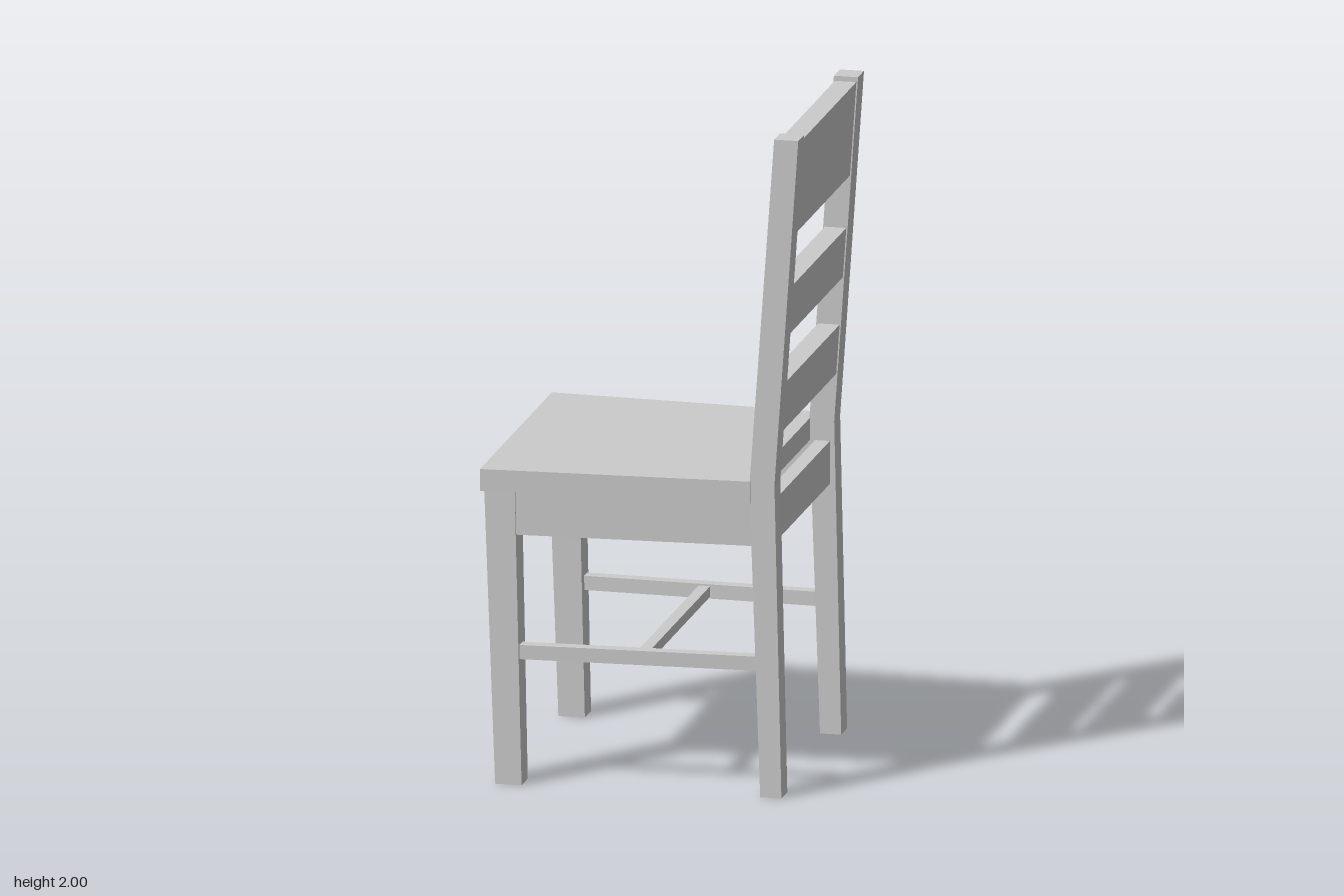
import * as THREE from 'three';

const material = new THREE.MeshStandardMaterial({ color: 0xcccccc, flatShading: true });
const lerp = THREE.MathUtils.lerp;

export function createModel() {
  const chair = new THREE.Group();
  chair.name = 'chair';

  function add(name, geometry) {
    const mesh = new THREE.Mesh(geometry, material);
    mesh.name = name;
    chair.add(mesh);
  }

  // Unit box whose corners (u, v, w from 0 to 1) are moved by a rule
  function block(name, rule) {
    const geometry = new THREE.BoxGeometry(1, 1, 1);
    const p = geometry.attributes.position;
    for (let i = 0; i < p.count; i++) {
      p.setXYZ(i, ...rule(p.getX(i) + 0.5, p.getY(i) + 0.5, p.getZ(i) + 0.5));
    }
    geometry.computeVertexNormals();
    add(name, geometry);
  }

  // Side outline in x and y, given a width across z
  function slab(name, outline, z0, z1) {
    const shape = new THREE.Shape(outline.map(([x, y]) => new THREE.Vector2(x, y)));
    const geometry = new THREE.ExtrudeGeometry(shape, { depth: z1 - z0, bevelEnabled: false });
    add(name, geometry.translate(0, 0, z0));
  }

  // Seat board, narrower toward the back
  block('seat', (u, v, w) => [
    lerp(-0.477, 0.33, u), lerp(0.89, 0.957, v), (w * 2 - 1) * lerp(0.46, 0.422, u),
  ]);

  for (const s of [1, -1]) {
    const side = s > 0 ? 'Left' : 'Right';

    // Bent rear leg that runs up into the backrest
    const z = [s * 0.345, s * 0.421].sort((a, b) => a - b);
    slab('backPost' + side, [
      [0.36, 0], [0.424, 0], [0.403, 0.95], [0.475, 2], [0.402, 2], [0.327, 0.94],
    ], ...z);

    // Tapered, slightly leaning front leg
    block('frontLeg' + side, (u, v, w) => {
      const t = s > 0 ? w : 1 - w;
      return [
        lerp(lerp(-0.435, -0.355, u), lerp(-0.466, -0.374, u), v),
        v * 0.89,
        s * lerp(lerp(0.366, 0.445, t), lerp(0.36, 0.452, t), v),
      ];
    });

    // Side rail and stretcher follow the taper of the seat
    const sideBar = (name, x0, x1, y0, y1, outerFront, outerBack, thick) =>
      block(name + side, (u, v, w) => {
        const t = s > 0 ? 1 - w : w;
        return [lerp(x0, x1, u), lerp(y0, y1, v), s * (lerp(outerFront, outerBack, u) - t * thick)];
      });
    sideBar('sideApron', -0.38, 0.345, 0.76, 0.89, 0.445, 0.414, 0.04);
    sideBar('sideStretcher', -0.375, 0.365, 0.38, 0.423, 0.435, 0.408, 0.04);
  }

  // Cross members
  const crossBar = (name, x0, x1, y0, y1, half) => block(name, (u, v, w) => [
    lerp(x0, x1, u), lerp(y0, y1, v), lerp(-half, half, w),
  ]);
  crossBar('frontApron', -0.445, -0.405, 0.76, 0.89, 0.37);
  crossBar('backApron', 0.345, 0.39, 0.76, 0.89, 0.35);
  crossBar('crossStretcher', -0.015, 0.02, 0.386, 0.418, 0.39);

  // Backrest slats lean with the posts
  const slats = [['lowerSlat', 1.095, 1.245], ['middleSlat', 1.39, 1.54], ['topSlat', 1.7, 1.985]];
  for (const [name, y0, y1] of slats) {
    block(name, (u, v, w) => {
      const y = lerp(y0, y1, v);
      return [0.334 + (y - 0.95) * 0.0685 + u * 0.065, y, lerp(-0.35, 0.35, w)];
    });
  }

  return chair;
}
